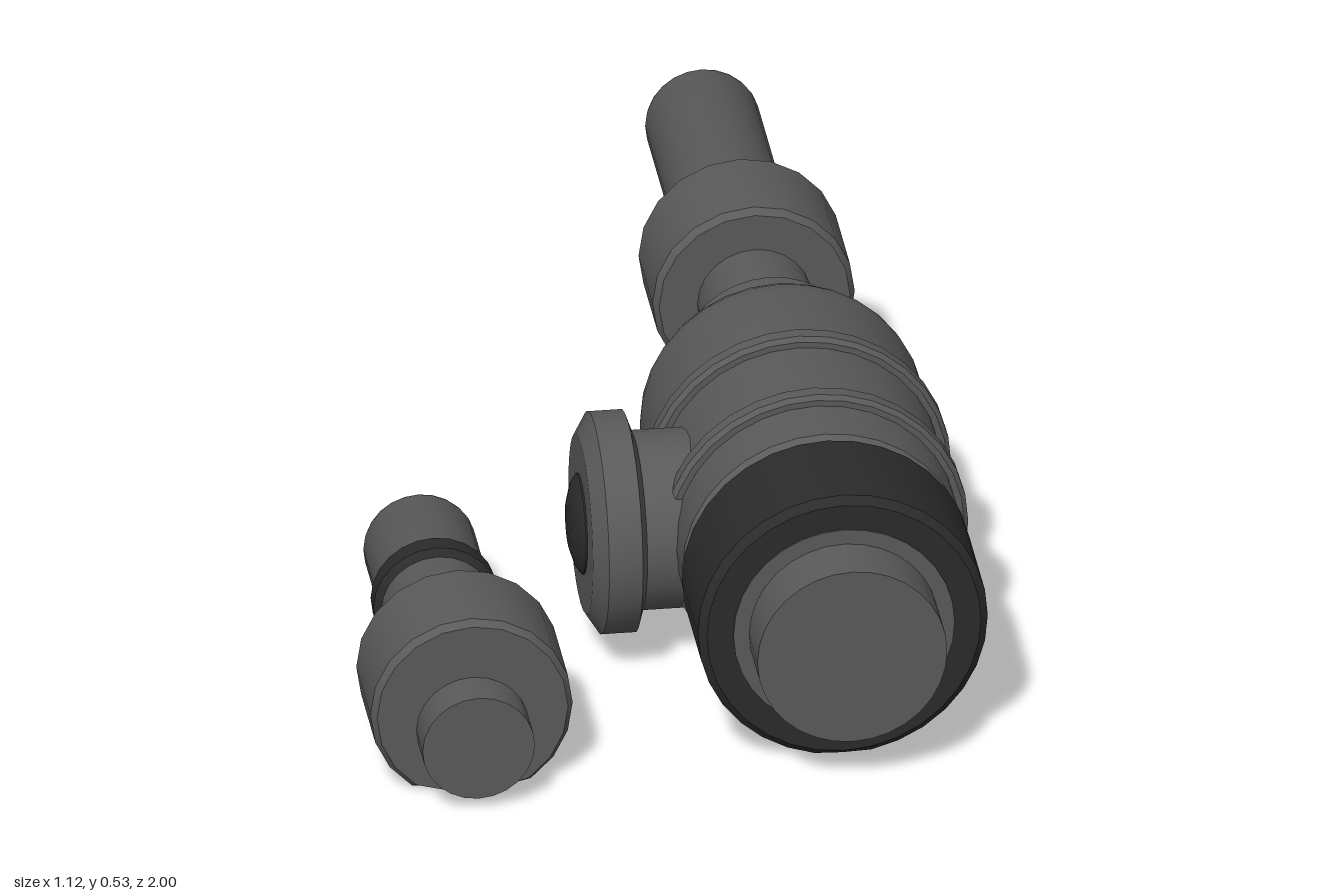
import * as THREE from 'three';
import { toCreasedNormals } from 'three/addons/utils/BufferGeometryUtils.js';

export function createModel() {
  const model = new THREE.Group();
  const grey = new THREE.MeshStandardMaterial({ color: 0x5a5a5a });
  grey.name = 'dark grey metal';
  const black = new THREE.MeshStandardMaterial({ color: 0x2b2b2b });
  black.name = 'black rubber';

  // Turned part along z (or along -x when sideways), flattened where it rests on y = 0.
  // profile: [radius, position along axis], in increasing position.
  function turned(parent, name, material, profile, [x, y, z], sides, sideways = false) {
    let geo = new THREE.LatheGeometry(profile.map(([r, h]) => new THREE.Vector2(r, h)), sides);
    if (sideways) geo.rotateZ(Math.PI / 2);
    else geo.rotateX(Math.PI / 2);
    geo.translate(x, y, z);
    const pos = geo.attributes.position;
    for (let i = 0; i < pos.count; i++) pos.setY(i, Math.max(0, pos.getY(i)));
    geo = toCreasedNormals(geo, 0.56);
    const mesh = new THREE.Mesh(geo, material);
    mesh.name = name;
    parent.add(mesh);
  }

  // Closed cylinder profile with chamfered rims
  const drum = (r, a, b, c = 0.015, d = c) =>
    [[0, a], [r - d, a], [r, a + c], [r, b - c], [r - d, b], [0, b]];
  const rod = (r, a, b) => [[0, a], [r, a], [r, b], [0, b]];
  // Rod whose far (-z) end is a blunt dome
  const domedRod = (r, tip, depth, end) => {
    const points = [];
    for (let i = 0; i <= 6; i++) {
      const t = (i / 6) * Math.PI / 2;
      points.push([r * Math.sin(t), tip + depth * (1 - Math.cos(t))]);
    }
    return [...points, [r, end], [0, end]];
  };

  // Main assembly
  const main = new THREE.Group();
  main.name = 'mainAssembly';
  model.add(main);
  const axis = [0.285, 0.255, 0];

  const body = [
    [0, -0.05], [0.13, -0.05], [0.16, -0.037], [0.19, -0.018], [0.217, 0.005],
    [0.237, 0.03], [0.248, 0.055], [0.253, 0.085], [0.253, 0.635], [0.242, 0.65], [0, 0.65],
  ];
  turned(main, 'body', grey, body, axis, 32);
  for (const z of [0.285, 0.507])
    turned(main, 'bodyRib', grey, drum(0.272, z - 0.021, z + 0.021, 0.008), axis, 32);
  turned(main, 'collar', black, drum(0.258, 0.655, 0.89, 0.014), axis, 32);
  turned(main, 'collarInsert', grey, rod(0.197, 0.8, 0.893), axis, 32);
  turned(main, 'frontPlug', grey, rod(0.169, 0.8, 1), axis, 32);

  // Rear shaft sits a little above the body axis
  turned(main, 'rearFlange', grey, drum(0.16, -0.093, 0.03, 0.01), [0.285, 0.285, 0], 32);
  turned(main, 'rearShaft', grey, domedRod(0.102, -1, 0.05, 0), [0.285, 0.3, 0], 24);
  turned(main, 'rearNut', grey, drum(0.18, -0.48, -0.27, 0.014, 0.01), [0.285, 0.3, 0], 20);

  // Side port on the right of the body
  const port = [0, 0.238, 0.405];
  turned(main, 'portStem', grey, rod(0.16, -0.2, 0.03), port, 32, true);
  turned(main, 'portFlange', grey,
    [[0, 0.02], [0.16, 0.02], [0.198, 0.033], [0.198, 0.093], [0.16, 0.117], [0, 0.117]], port, 32, true);
  turned(main, 'portButton', black,
    [[0, 0.1], [0.09, 0.1], [0.09, 0.12], [0.075, 0.13], [0.045, 0.139], [0, 0.141]], port, 24, true);

  // Separate small plug
  const plug = new THREE.Group();
  plug.name = 'smallPlug';
  model.add(plug);
  turned(plug, 'plugShaft', grey, domedRod(0.1, 0.184, 0.045, 1), [-0.38, 0.12, 0], 24);
  turned(plug, 'plugSeal', black, drum(0.112, 0.4, 0.462, 0.012), [-0.38, 0.12, 0], 24);
  turned(plug, 'plugNut', grey, drum(0.18, 0.708, 0.92, 0.014, 0.01), [-0.38, 0.15, 0], 20);

  return model;
}
